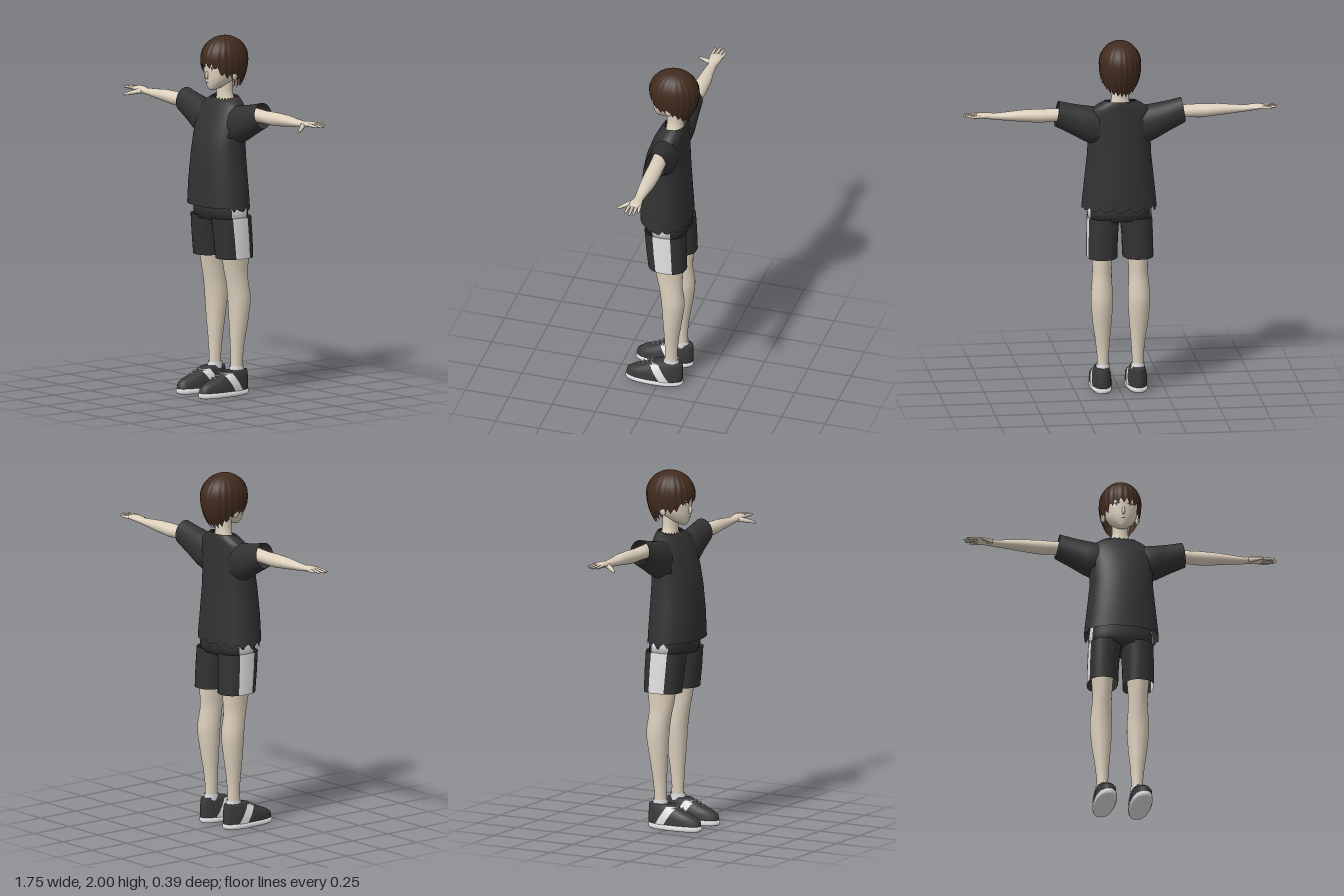
import * as THREE from 'three';

const material = (name, color, side = THREE.FrontSide) => {
  const m = new THREE.MeshStandardMaterial({ color, side });
  m.name = name;
  return m;
};

// Ring round the y axis: angle 0 faces front, then turns to +x. e < 1 gives a boxier outline.
const pw = (v, e) => Math.sign(v) * Math.abs(v) ** e;
function ringY([y, cx, rx, zf, zb], n, e = 1) {
  return Array.from({ length: n }, (_, j) => {
    const a = (j / n) * Math.PI * 2;
    return [cx + rx * pw(Math.sin(a), e), y, (zf + zb) / 2 + ((zf - zb) / 2) * pw(Math.cos(a), e)];
  });
}
// Ring round the x axis; lean tips the ring's top inward.
function ringX([x, yc, ry, zc, rz], n, lean = 0) {
  return Array.from({ length: n }, (_, j) => {
    const a = (j / n) * Math.PI * 2;
    return [x - lean * Math.cos(a), yc + ry * Math.cos(a), zc + rz * Math.sin(a)];
  });
}
// Closed skin over rings; pick gives each quad's material slot, -1 leaves a hole.
function loft(rings, { capStart, capEnd, pick = () => 0 } = {}) {
  const n = rings[0].length, pos = rings.flat(2), slots = [[], []];
  for (let i = 0; i < rings.length - 1; i++) for (let j = 0; j < n; j++) {
    const s = pick(j, i);
    if (s < 0) continue;
    const a = i * n + j, b = i * n + ((j + 1) % n);
    slots[s].push(a, b, b + n, a, b + n, a + n);
  }
  const cap = (i, flip) => {
    const c = pos.length / 3;
    pos.push(...[0, 1, 2].map((k) => rings[i].reduce((t, p) => t + p[k], 0) / n));
    for (let j = 0; j < n; j++) {
      const a = i * n + j, b = i * n + ((j + 1) % n);
      slots[0].push(...(flip ? [c, b, a] : [c, a, b]));
    }
  };
  if (capStart) cap(0, true);
  if (capEnd) cap(rings.length - 1, false);
  const g = new THREE.BufferGeometry();
  g.setAttribute('position', new THREE.Float32BufferAttribute(pos, 3));
  g.setIndex(slots.flat());
  g.addGroup(0, slots[0].length, 0);
  if (slots[1].length) g.addGroup(slots[0].length, slots[1].length, 1);
  g.computeVertexNormals();
  return g;
}
// Linear reading of a table of rows sorted by their first value.
function sample(rows, v) {
  let i = 0;
  while (i < rows.length - 2 && v > rows[i + 1][0]) i++;
  const t = (v - rows[i][0]) / (rows[i + 1][0] - rows[i][0]);
  return rows[i].map((p, k) => p + (rows[i + 1][k] - p) * t);
}
// Rounded, tapered rod between two points.
function rod(p, q, r0, r1) {
  const a = new THREE.Vector3(...p), d = new THREE.Vector3(...q).sub(a), l = d.length();
  const pts = [[0, 0], [r0, 0], [(r0 + r1) / 2, l * 0.5], [r1, l - r1], [r1 * 0.7, l - r1 * 0.3], [0, l]];
  const g = new THREE.LatheGeometry(pts.map((v) => new THREE.Vector2(...v)), 10);
  g.applyQuaternion(new THREE.Quaternion().setFromUnitVectors(new THREE.Vector3(0, 1, 0), d.normalize()));
  return g.translate(...p);
}
function ball(x, y, z, sx, sy, sz) {
  return new THREE.SphereGeometry(1, 16, 12).scale(sx, sy, sz).translate(x, y, z);
}
function mirrored(geo) {
  const g = geo.clone(), p = g.attributes.position, ix = g.index.array;
  for (let i = 0; i < p.count; i++) p.setX(i, -p.getX(i));
  for (let i = 0; i < ix.length; i += 3) [ix[i], ix[i + 1]] = [ix[i + 1], ix[i]];
  g.computeVertexNormals();
  return g;
}

export function createModel() {
  const skin = material('skin', 0xddd0bd);
  const hairMat = material('brown hair', 0x412b1e, THREE.DoubleSide);
  const cloth = material('charcoal cloth', 0x323233, THREE.DoubleSide);
  const white = material('white trim', 0xe2e2e5, THREE.DoubleSide);
  const shoeMat = material('shoe grey', 0x3a3a3b);
  const ink = material('lash brown', 0x2a1d18, THREE.DoubleSide);
  const iris = material('iris grey', 0x8b8580, THREE.DoubleSide);
  const lip = material('lip', 0xb08a7c, THREE.DoubleSide);

  const model = new THREE.Group();
  model.name = 'figure';
  const add = (name, geo, mat) => {
    const m = new THREE.Mesh(geo, mat);
    m.name = name;
    model.add(m);
  };
  const both = (name, geo, mat) => {
    add('left' + name, geo, mat);
    add('right' + name, mirrored(geo), mat);
  };
  const tooth = (t) => Math.abs(((t % 1) + 1) % 1 * 2 - 1);

  // Head and neck
  const face = [
    [1.703, 0, 0.014, 0.045, 0.01], [1.72, 0, 0.038, 0.056, -0.04], [1.75, 0, 0.067, 0.062, -0.09],
    [1.78, 0, 0.083, 0.066, -0.12], [1.82, 0, 0.093, 0.064, -0.14], [1.87, 0, 0.098, 0.07, -0.155],
    [1.92, 0, 0.094, 0.058, -0.15], [1.96, 0, 0.068, 0.025, -0.12], [1.98, 0, 0.03, -0.02, -0.08]];
  add('head', loft(face.map((r) => ringY(r, 40)), { capStart: true, capEnd: true }), skin);
  add('neck', loft([[1.58, 0, 0.09, 0, -0.12], [1.63, 0, 0.068, -0.01, -0.11], [1.66, 0, 0.05, -0.015, -0.105],
    [1.7, 0, 0.045, -0.015, -0.1], [1.78, 0, 0.046, -0.01, -0.1]].map((r) => ringY(r, 28))), skin);
  add('nose', ball(0, 1.787, 0.066, 0.009, 0.022, 0.015), skin);
  both('Ear', ball(0.096, 1.79, -0.05, 0.012, 0.03, 0.02), skin);

  // Painted face details laid on the face surface
  const decal = (x, y, w, h, lift) => {
    const g = new THREE.ShapeGeometry(new THREE.Shape().absellipse(x, y, w, h, 0, Math.PI * 2), 8);
    const p = g.attributes.position;
    for (let i = 0; i < p.count; i++) {
      const [, , rx, zf, zb] = sample(face, p.getY(i));
      p.setZ(i, (zf + zb) / 2 + ((zf - zb) / 2) * Math.sqrt(1 - (p.getX(i) / rx) ** 2) + lift);
    }
    g.computeVertexNormals();
    return g;
  };
  both('Eye', decal(0.039, 1.823, 0.02, 0.009, 0.003), white);
  both('Iris', decal(0.038, 1.823, 0.006, 0.008, 0.005), iris);
  both('Lash', decal(0.039, 1.833, 0.022, 0.0025, 0.006), ink);
  add('mouth', decal(0, 1.746, 0.014, 0.002, 0.003), lip);

  // Hair: ridged shell with a pointed lower edge, short in front and long behind
  const edge = [[0, 1.845], [0.6, 1.835], [0.95, 1.79], [1.25, 1.785], [1.7, 1.775], [2.3, 1.725], [3.15, 1.712]];
  const hairRows = 16, hairCols = 132;
  const hairRings = Array.from({ length: hairRows + 1 }, (_, i) => Array.from({ length: hairCols }, (_, j) => {
    const a = (j / hairCols) * Math.PI * 2, t = i / hairRows;
    const low = sample(edge, Math.min(a, Math.PI * 2 - a))[1]
      + (tooth((j + 3) / 6) - 0.5) * (0.03 + 0.012 * Math.sin(j * 0.9));
    const y = low + (2 - low) * Math.sin(t * Math.PI / 2);
    const f = y > 1.87 ? Math.sqrt(Math.max(0, 1 - ((y - 1.87) / 0.13) ** 2)) : 1 - 0.35 * ((1.87 - y) / 0.16) ** 2;
    const r = f * (1 - 0.035 * tooth((j + 3) / 6 + 0.5) * (1 - t * t));
    return [0.118 * r * Math.sin(a), y, -0.055 + 0.143 * r * Math.cos(a)];
  }));
  add('hair', loft(hairRings), hairMat);

  // Shirt body: torn hem and collar, open armholes
  const torso = [
    [1.06, 0, 0.208, 0.125, -0.155], [1.2, 0, 0.193, 0.124, -0.148], [1.35, 0, 0.177, 0.113, -0.14],
    [1.45, 0, 0.174, 0.094, -0.135], [1.55, 0, 0.174, 0.058, -0.13], [1.61, 0, 0.165, 0.026, -0.126],
    [1.645, 0, 0.118, 0.002, -0.125], [1.665, 0, 0.086, -0.008, -0.12]];
  const shirtY = [1.06, 1.13, 1.2, 1.28, 1.35, 1.4, 1.45, 1.5, 1.55, 1.58, 1.61, 1.63, 1.645, 1.665];
  const cols = 96;
  const shirt = shirtY.map((y) => ringY(sample(torso, y), cols, 0.92));
  shirt[0].forEach((p, j) => {
    if (Math.cos((j / cols) * Math.PI * 2) < 0.35) p[1] -= 0.045 * tooth(j / 6) * (0.7 + 0.3 * Math.sin(j));
  });
  shirt.at(-1).forEach((p, j) => {
    const c = Math.max(0, Math.cos((j / cols) * Math.PI * 2));
    p[1] -= c * (0.008 + 0.018 * tooth(j / 4));
  });
  add('shirtBody', loft(shirt, {
    pick: (j, i) => Math.abs(Math.sin(((j + 0.5) / cols) * Math.PI * 2)) > 0.87 && shirtY[i] >= 1.45 && shirtY[i] < 1.6 ? -1 : 0,
  }), cloth);
  both('Sleeve', loft([[0.12, 1.515, 0.105, -0.042, 0.074], [0.16, 1.522, 0.105, -0.042, 0.078],
    [0.2, 1.535, 0.098, -0.045, 0.074], [0.27, 1.563, 0.083, -0.049, 0.066],
    [0.352, 1.595, 0.07, -0.052, 0.06]].map((r, i) => ringX(r, 32, i * 0.003))), cloth);

  // Arms and hands
  both('Arm', loft([[0.26, 1.59, 0.04, -0.055, 0.044], [0.36, 1.588, 0.035, -0.058, 0.043],
    [0.45, 1.588, 0.038, -0.06, 0.044], [0.55, 1.592, 0.032, -0.062, 0.04], [0.62, 1.592, 0.025, -0.06, 0.032],
    [0.7, 1.593, 0.018, -0.06, 0.025], [0.74, 1.599, 0.017, -0.06, 0.033], [0.78, 1.602, 0.014, -0.062, 0.037],
    [0.8, 1.602, 0.008, -0.063, 0.034]].map((r) => ringX(r, 24)), { capStart: true, capEnd: true }), skin);
  [[-0.092, 0.84, -0.1], [-0.073, 0.865, -0.08], [-0.053, 0.876, -0.057], [-0.034, 0.862, -0.031]].forEach(([z, x, tip], i) =>
    both('Finger' + (i + 1), rod([0.78, 1.602, z], [x, 1.6, tip], 0.01, 0.0065), skin));
  both('Thumb', rod([0.725, 1.595, -0.045], [0.788, 1.572, 0.037], 0.016, 0.007), skin);

  // Shorts with a pale side panel
  const panel = (j) => (j >= 6 && j < 10 ? 1 : 0);
  both('ShortsLeg', loft([[0.77, 0.1, 0.085, 0.06, -0.155], [0.88, 0.098, 0.086, 0.073, -0.152],
    [1.0, 0.091, 0.089, 0.085, -0.147]].map((r) => ringY(r, 32, 0.85)), { pick: panel }), [cloth, white]);
  add('shortsSeat', loft([[0.985, 0, 0.178, 0.083, -0.146], [1.04, 0, 0.179, 0.088, -0.146],
    [1.12, 0, 0.17, 0.088, -0.135]].map((r) => ringY(r, 32, 0.85)),
  { capStart: true, pick: (j) => panel(j) || panel(31 - j) }), [cloth, white]);

  // Legs
  both('Leg', loft([[0.08, 0.097, 0.032, -0.025, -0.105], [0.2, 0.097, 0.032, -0.032, -0.1],
    [0.3, 0.099, 0.041, -0.028, -0.11], [0.4, 0.102, 0.053, -0.022, -0.126], [0.5, 0.103, 0.061, -0.016, -0.141],
    [0.56, 0.103, 0.061, -0.011, -0.142], [0.64, 0.102, 0.055, 0.002, -0.13], [0.7, 0.1, 0.053, 0.017, -0.132],
    [0.78, 0.1, 0.058, 0.031, -0.139], [0.9, 0.098, 0.07, 0.05, -0.14]].map((r) => ringY(r, 28))), skin);

  // Shoes
  const upper = [[0.028, 0.1, 0.057, 0.191, -0.133], [0.06, 0.1, 0.057, 0.185, -0.134], [0.08, 0.1, 0.053, 0.155, -0.134],
    [0.1, 0.1, 0.048, 0.105, -0.133], [0.125, 0.1, 0.041, 0.05, -0.132], [0.14, 0.1, 0.036, 0.025, -0.128]];
  both('ShoeUpper', loft(upper.map((r) => ringY(r, 40, 0.85)), { capEnd: true }), shoeMat);
  both('ShoeSole', loft([[0, 0.1, 0.055, 0.186, -0.128], [0.008, 0.1, 0.06, 0.195, -0.135],
    [0.03, 0.1, 0.06, 0.194, -0.136]].map((r) => ringY(r, 40, 0.85)), { capStart: true, capEnd: true }), white);
  both('Sock', loft([[0.12, 0.097, 0.037, -0.02, -0.112], [0.162, 0.097, 0.037, -0.025, -0.108]].map((r) => ringY(r, 24))), white);
  for (const s of [1, -1]) {
    const g = new THREE.PlaneGeometry(1, 1, 4, 8), p = g.attributes.position;
    for (let i = 0; i < p.count; i++) {
      const y = 0.079 + p.getY(i) * 0.1, z = -0.04 + (y - 0.03) * 0.65 + p.getX(i) * 0.055;
      const [, cx, rx, zf, zb] = sample(upper, y);
      const c = Math.min(1, Math.abs((z - (zf + zb) / 2) / ((zf - zb) / 2)) ** (1 / 0.85));
      p.setXYZ(i, cx + s * (rx * Math.sqrt(1 - c * c) ** 0.85 + 0.003), y, z);
    }
    g.computeVertexNormals();
    both(s > 0 ? 'ShoeOuterStripe' : 'ShoeInnerStripe', g, white);
  }
  [[0.045, 0.131], [0.07, 0.119], [0.095, 0.107]].forEach(([z, y], i) =>
    both('Lace' + (i + 1), rod([0.078, y, z], [0.122, y, z], 0.004, 0.004), white));
  return model;
}
